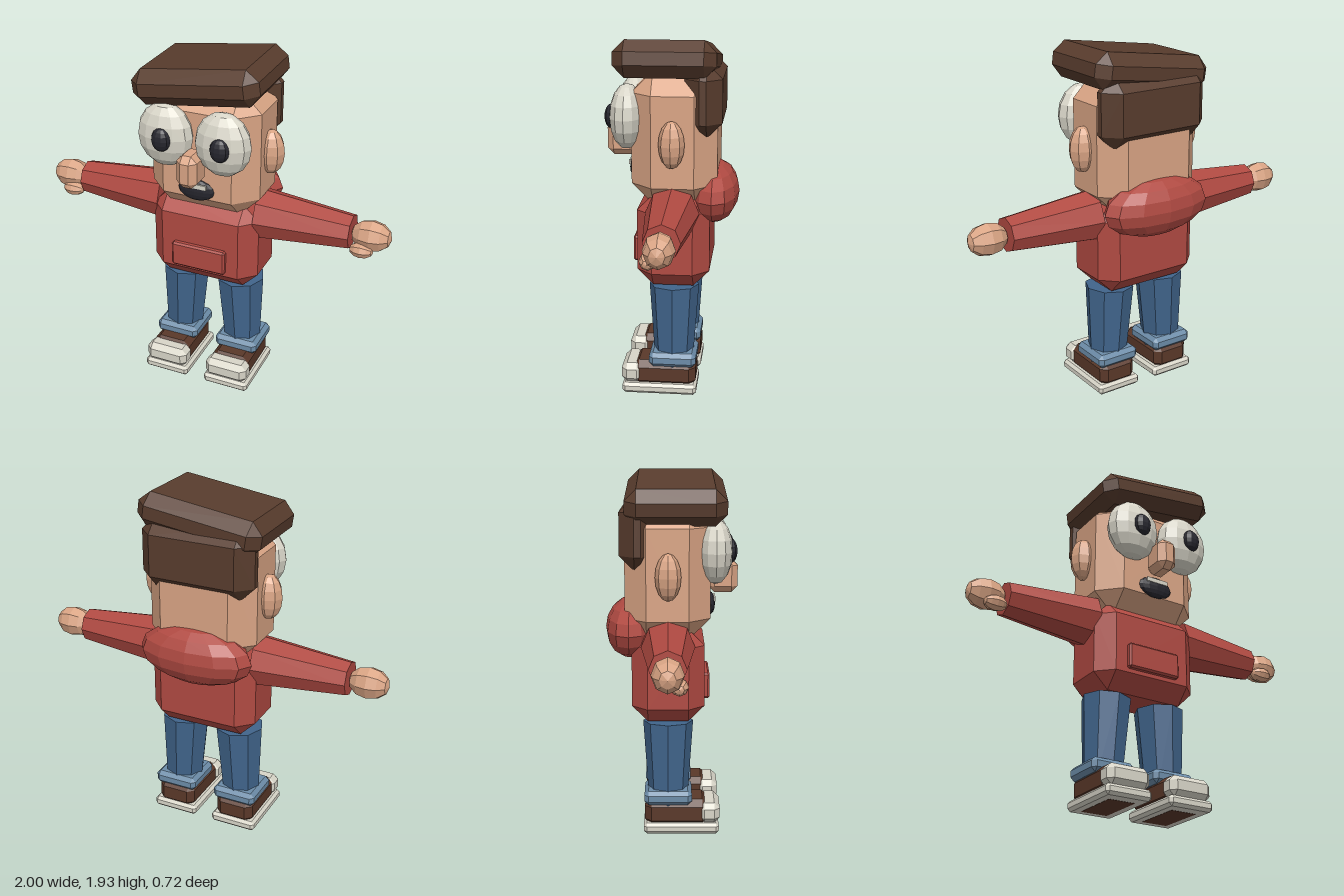
import * as THREE from 'three';
import { ConvexGeometry } from 'three/addons/geometries/ConvexGeometry.js';

const material = (name, color) => {
  const m = new THREE.MeshStandardMaterial({ color, flatShading: true });
  m.name = name;
  return m;
};

// Box with bevelled edges and corners, centred on the origin
function bevelBox(w, h, d, c) {
  const points = [];
  for (const sx of [-1, 1]) for (const sy of [-1, 1]) for (const sz of [-1, 1]) {
    const x = w / 2, y = h / 2, z = d / 2;
    points.push(
      new THREE.Vector3(sx * x, sy * (y - c), sz * (z - c)),
      new THREE.Vector3(sx * (x - c), sy * y, sz * (z - c)),
      new THREE.Vector3(sx * (x - c), sy * (y - c), sz * z));
  }
  return new ConvexGeometry(points);
}

const ball = (rx, ry, rz, sides = 10, rings = 8) =>
  new THREE.SphereGeometry(1, sides, rings).scale(rx, ry, rz);

export function createModel() {
  const red = material('sweater red', 0xb04a42);
  const skin = material('skin', 0xd9a484);
  const hair = material('hair brown', 0x583c2d);
  const denim = material('denim blue', 0x41658c);
  const cuffBlue = material('cuff blue', 0x6c8ca8);
  const white = material('off white', 0xd8d5c8);
  const black = material('near black', 0x26262e);
  const leather = material('shoe brown', 0x5a3829);

  const model = new THREE.Group();
  model.name = 'figure';
  const add = (name, geometry, mat, x, y, z, parent = model) => {
    const mesh = new THREE.Mesh(geometry, mat);
    mesh.name = name;
    mesh.position.set(x, y, z);
    parent.add(mesh);
    return mesh;
  };
  const Z = -0.015; // depth of the body's centre line

  // Sweater
  add('torso', bevelBox(0.615, 0.5, 0.386, 0.085), red, 0, 0.86, Z);
  add('pocket', bevelBox(0.31, 0.14, 0.04, 0.01), red, 0, 0.787, 0.188);
  add('hood', ball(0.325, 0.16, 0.135, 12, 8), red, 0, 1.087, -0.22);

  // Head and face
  add('head', bevelBox(0.62, 0.71, 0.452, 0.115), skin, 0, 1.405, -0.018);
  add('nose', bevelBox(0.115, 0.18, 0.16, 0.034), skin, 0, 1.369, 0.28);
  add('mouth', ball(0.102, 0.06, 0.027, 12, 8), black, 0, 1.216, 0.213);
  add('teeth', new THREE.BoxGeometry(0.13, 0.024, 0.009), white, 0, 1.246, 0.235);

  // Hair: tilted slab on top, block down the back
  add('hairTop', bevelBox(0.7, 0.192, 0.53, 0.062), hair, 0, 1.79, 0.025)
    .rotation.z = 0.14;
  add('hairBack', bevelBox(0.64, 0.385, 0.195, 0.08), hair, 0, 1.613, -0.172);

  for (const s of [-1, 1]) {
    const side = s > 0 ? 'left' : 'right';

    // Eyes and ears
    add(side + 'Eye', ball(0.154, 0.172, 0.092, 12, 8), white, s * 0.16, 1.515, 0.234);
    add(side + 'Pupil', ball(0.053, 0.064, 0.035), black, 0.013 + s * 0.161, 1.517, 0.315);
    add(side + 'Ear', ball(0.075, 0.124, 0.068, 8, 8), skin, s * 0.325, 1.4, Z);

    // Arm, hand and thumb
    const sleeve = new THREE.CylinderGeometry(0.093, 0.142, 0.51, 8);
    add(side + 'Sleeve', sleeve, red, s * 0.535, 1.028, Z).rotation.z = -s * Math.PI / 2;
    const palm = ball(0.088, 0.108, 0.08, 8, 6).rotateZ(Math.PI / 2);
    add(side + 'Hand', palm, skin, s * 0.892, 1.026, Z);
    const thumb = ball(0.042, 0.064, 0.045, 8, 6).rotateZ(Math.PI / 2);
    add(side + 'Thumb', thumb, skin, s * 0.857, 0.961, 0.04);

    // Trouser leg, splayed slightly outwards
    const leg = new THREE.CylinderGeometry(0.135, 0.104, 0.455, 8);
    add(side + 'Leg', leg, denim, s * 0.175, 0.373, Z).rotation.z = s * 0.04;
    add(side + 'Cuff', bevelBox(0.25, 0.078, 0.255, 0.022), cuffBlue, s * 0.184, 0.197, Z);

    // Shoe
    const shoe = new THREE.Group();
    shoe.name = side + 'Shoe';
    shoe.position.x = s * 0.184;
    model.add(shoe);
    add('upper', bevelBox(0.22, 0.145, 0.345, 0.035), leather, 0, 0.108, 0.032, shoe);
    add('toeCap', bevelBox(0.246, 0.112, 0.114, 0.03), white, 0, 0.111, 0.207, shoe);
    add('sole', bevelBox(0.264, 0.058, 0.405, 0.016), white, 0, 0.03, 0.056, shoe);
    add('tread', new THREE.BoxGeometry(0.15, 0.004, 0.27), leather, 0, 0.002, 0.045, shoe);
  }
  return model;
}
